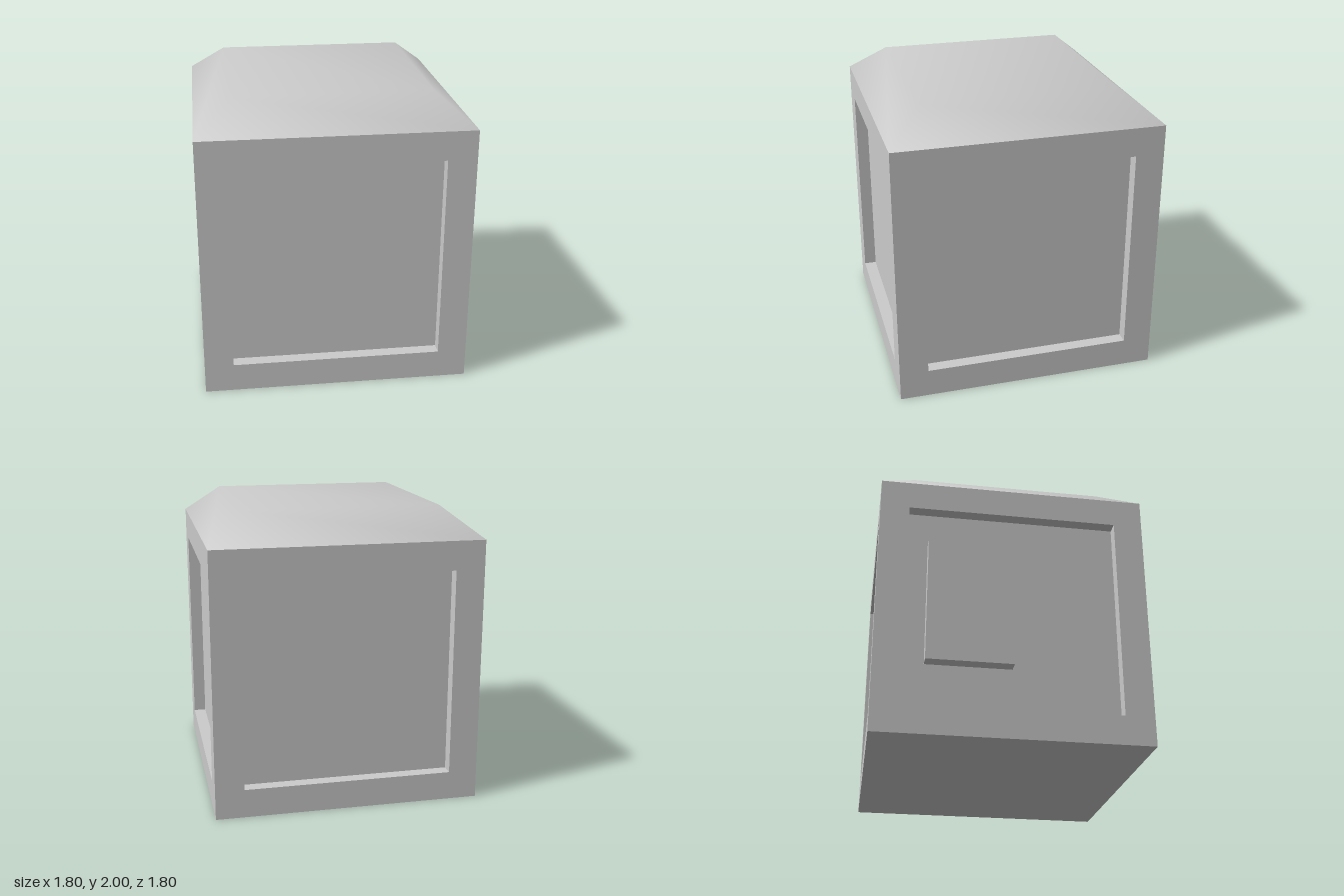
import * as THREE from 'three';

const SIZE = 1.8, HALF = SIZE / 2;   // body cube
const DEPTH = 0.085;                 // recess of the side panels
const HOLE = 0.705;                  // half size of the panel opening
const CORE = SIZE - 2 * DEPTH;

export function createModel() {
  const model = new THREE.Group();
  const material = new THREE.MeshStandardMaterial({ color: 0xcccccc });

  const add = (name, geometry, x, y, z, parent = model) => {
    const mesh = new THREE.Mesh(geometry, material);
    mesh.name = name;
    mesh.position.set(x, y, z);
    parent.add(mesh);
    return mesh;
  };

  // Core whose sides are the recessed panels
  add('core', new THREE.BoxGeometry(CORE, SIZE, CORE), 0, HALF, 0);

  // Raised frame around each panel; the x sides fit between the z sides
  ['frontFrame', 'leftFrame', 'backFrame', 'rightFrame'].forEach((name, i) => {
    const w = (i % 2 ? CORE : SIZE) / 2;
    const shape = new THREE.Shape([
      [-w, -HALF], [w, -HALF], [w, HALF], [-w, HALF],
    ].map(([x, y]) => new THREE.Vector2(x, y)));
    shape.holes.push(new THREE.Path([
      [-HOLE, -HOLE], [-HOLE, HOLE], [HOLE, HOLE], [HOLE, -HOLE],
    ].map(([x, y]) => new THREE.Vector2(x, y))));
    const side = new THREE.Group();
    side.name = name + 'Side';
    side.rotation.y = i * Math.PI / 2;
    model.add(side);
    add(name, new THREE.ExtrudeGeometry(shape, { depth: DEPTH, bevelEnabled: false }),
      0, HALF, CORE / 2, side);
  });

  // Block standing on the right panel
  add('sideBlock', new THREE.BoxGeometry(0.09, 0.86, 0.57), -0.859, 0.93, -0.285);

  // Tapered lid with smooth shading: a base ring and a top ring of four corners
  const corners = [[1, 1], [1, -1], [-1, -1], [-1, 1]];
  const positions = [];
  for (const [r, y] of [[HALF, SIZE], [0.655, 2]]) {
    for (const [x, z] of corners) positions.push(x * r, y, z * r);
  }
  const index = [4, 5, 6, 4, 6, 7];
  for (let i = 0; i < 4; i++) {
    const j = (i + 1) % 4;
    index.push(i, j, 4 + i, j, 4 + j, 4 + i);
  }
  const lid = new THREE.BufferGeometry();
  lid.setAttribute('position', new THREE.Float32BufferAttribute(positions, 3));
  lid.setIndex(index);
  lid.computeVertexNormals();
  add('lid', lid, 0, 0, 0);

  return model;
}
